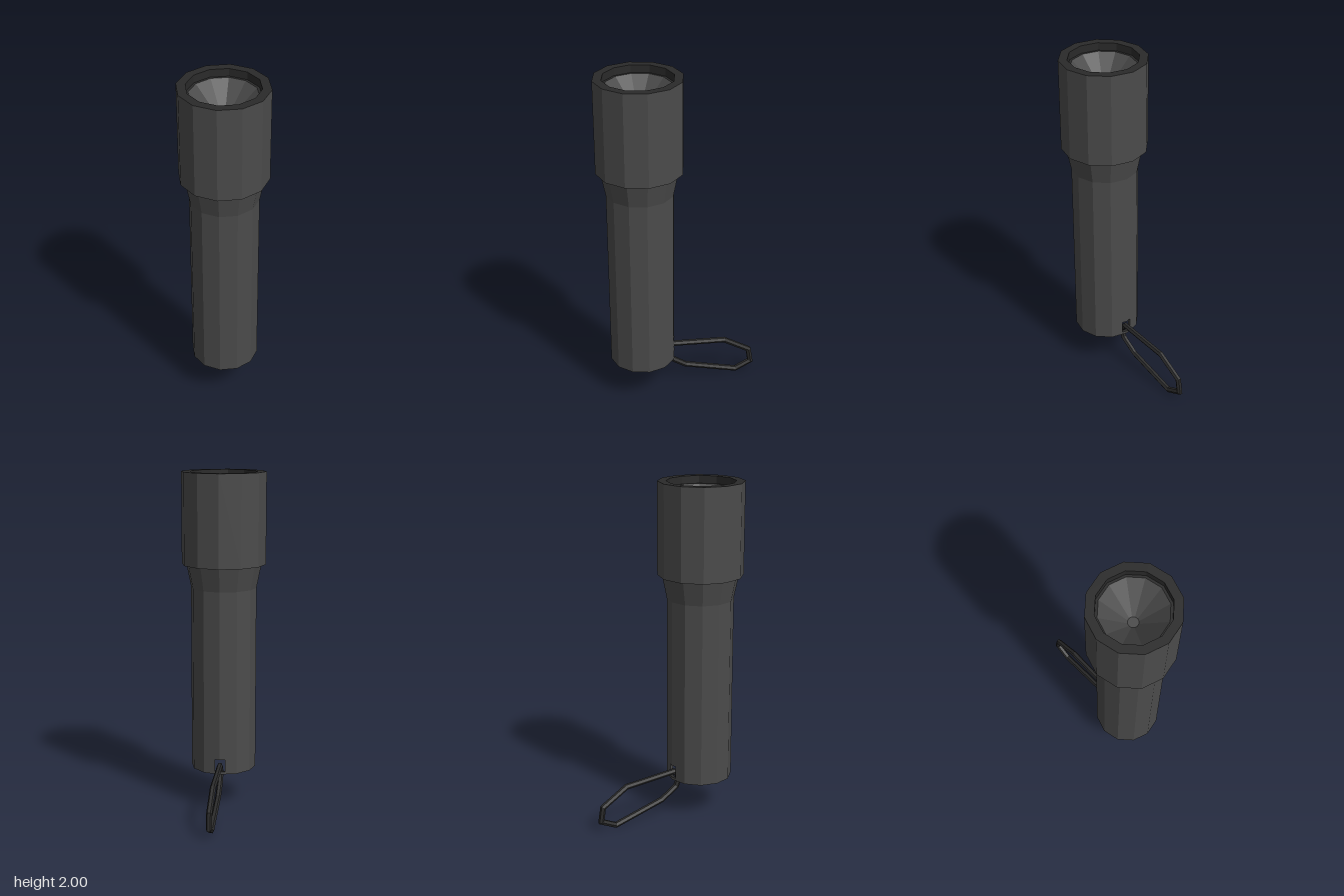
import * as THREE from 'three';

const SIDES = 12;
const AXIS_Z = 0.225;

export function createModel() {
  const grey = new THREE.MeshStandardMaterial({ color: 0x4b4b4b, flatShading: true });
  grey.name = 'dark grey casing';
  const black = new THREE.MeshStandardMaterial({ color: 0x2a2a2a, flatShading: true });
  black.name = 'black trim';

  const torch = new THREE.Group();
  torch.name = 'torch';
  const add = (name, geometry, material, z = AXIS_Z) => {
    const mesh = new THREE.Mesh(geometry, material);
    mesh.name = name;
    mesh.position.z = z;
    torch.add(mesh);
  };
  const lathe = (name, material, profile) =>
    add(name, new THREE.LatheGeometry(profile.map(([r, y]) => new THREE.Vector2(r, y)), SIDES), material);

  // Handle, neck and head
  lathe('handle', grey, [[0.195, 0.31], [0.195, 1.32]]);
  lathe('neck', grey, [[0.195, 1.32], [0.223, 1.46]]);
  lathe('headUnderside', black, [[0.222, 1.46], [0.25, 1.46]]);
  lathe('head', grey, [[0.25, 1.46], [0.25, 2]]);

  // Front rim, recess and reflector
  lathe('rim', black, [[0.25, 2], [0.2, 2], [0.2, 1.955], [0.186, 1.955]]);
  lathe('reflector', grey, [[0.186, 1.955], [0.03, 1.8]]);
  lathe('bulb', grey, [[0.03, 1.8], [0, 1.8]]);

  // Hollow tail: stacked wall layers, the middle one open at the back for the strap
  const OUTER = 0.195, INNER = 0.175;
  const arc = (r, gap) => {
    const pts = [];
    const edgeY = r - gap * Math.tan(Math.PI / SIDES);
    if (gap) pts.push(new THREE.Vector2(gap, edgeY));
    for (let i = gap ? 1 : 0; i < SIDES; i++) {
      const a = (i / SIDES) * Math.PI * 2;
      pts.push(new THREE.Vector2(r * Math.sin(a), r * Math.cos(a)));
    }
    if (gap) pts.push(new THREE.Vector2(-gap, edgeY));
    return pts;
  };
  const wallLayer = (name, y0, y1, gap) => {
    let shape;
    if (gap) {
      shape = new THREE.Shape([...arc(OUTER, gap), ...arc(INNER, gap).reverse()]);
    } else {
      shape = new THREE.Shape(arc(OUTER, 0));
      shape.holes.push(new THREE.Path(arc(INNER, 0)));
    }
    const geometry = new THREE.ExtrudeGeometry(shape, { depth: y1 - y0, bevelEnabled: false });
    geometry.rotateX(-Math.PI / 2).translate(0, y0, 0);
    add(name, geometry, [black, grey]);
  };
  wallLayer('tailEdge', 0.22, 0.235, 0);
  wallLayer('tailWall', 0.235, 0.31, 0.03);
  lathe('tailCeiling', black, [[0, 0.31], [0.195, 0.31]]);

  // Wrist strap: a mitred hexagonal cord around a closed loop, as [z, y]
  add('wristStrap', cordLoop([
    [0.045, 0.27], [-0.285, 0.246], [-0.443, 0.153], [-0.457, 0.066],
    [-0.36, 0.02], [-0.04, 0.105], [0.06, 0.17], [0.083, 0.225],
  ], 0.017, 6), black, 0);

  return torch;
}

function cordLoop(path, radius, sides) {
  const pts = path.map(([z, y]) => new THREE.Vector2(z, y));
  const n = pts.length;
  const positions = [];
  const index = [];
  pts.forEach((p, i) => {
    const before = p.clone().sub(pts[(i + n - 1) % n]).normalize();
    const after = pts[(i + 1) % n].clone().sub(p).normalize();
    const tangent = before.clone().add(after).normalize();
    const miter = 1 / Math.max(0.5, tangent.dot(after));
    for (let j = 0; j < sides; j++) {
      const a = (j / sides) * Math.PI * 2;
      const across = Math.sin(a) * radius * miter;
      positions.push(Math.cos(a) * radius, p.y + tangent.x * across, p.x - tangent.y * across);
      const k = (j + 1) % sides;
      const here = i * sides, next = ((i + 1) % n) * sides;
      index.push(here + j, here + k, next + j, here + k, next + k, next + j);
    }
  });
  const geometry = new THREE.BufferGeometry();
  geometry.setAttribute('position', new THREE.Float32BufferAttribute(positions, 3));
  geometry.setIndex(index);
  geometry.computeVertexNormals();
  return geometry;
}
